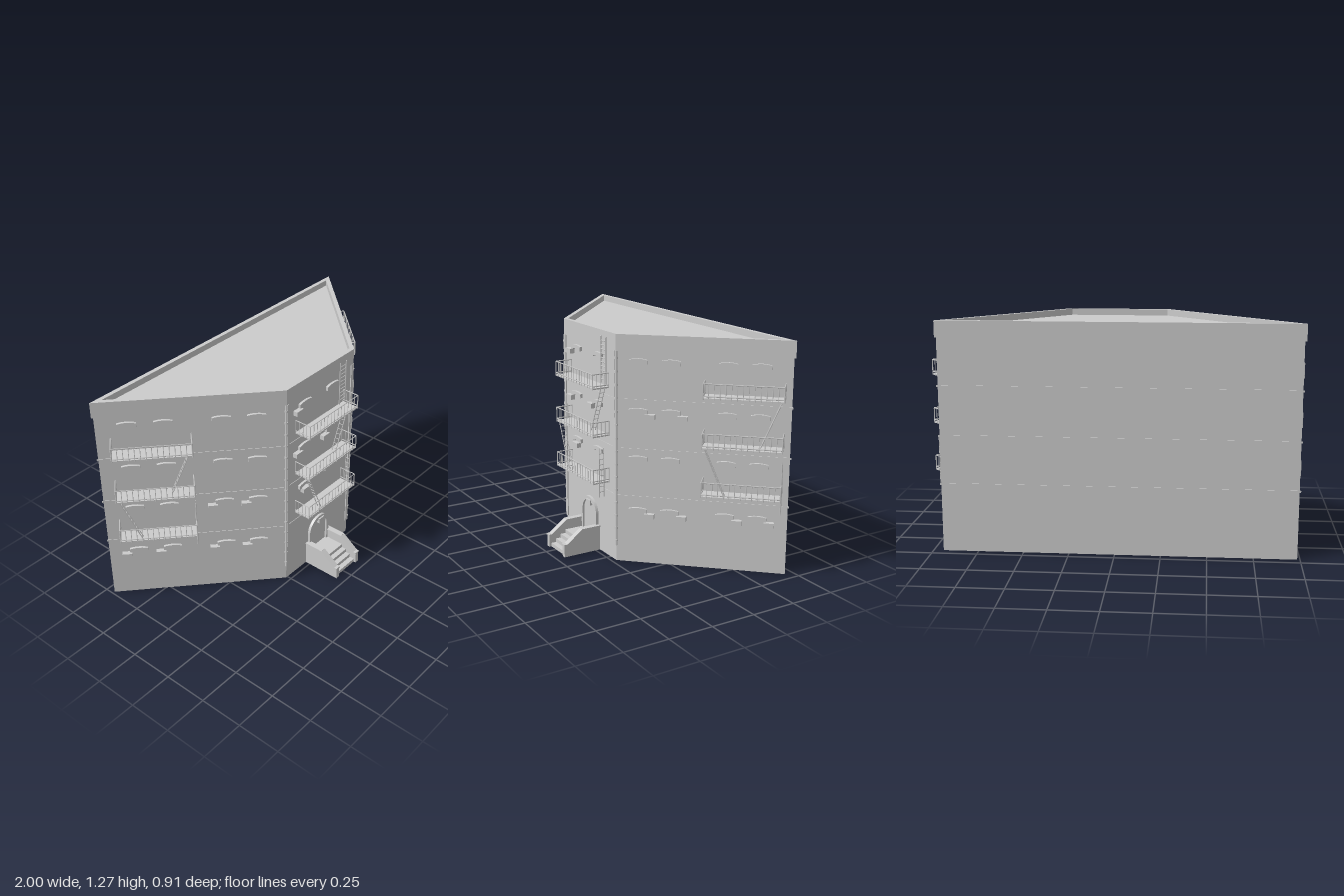
import * as THREE from 'three';
import { mergeGeometries } from 'three/addons/utils/BufferGeometryUtils.js';

const grey = new THREE.MeshStandardMaterial({ color: 0xcccccc, side: THREE.DoubleSide });
const V = (x, y, z) => new THREE.Vector3(x, y, z);

// Ground plan corners as (x, z): back right, front right, front left, back left
const plan = [[-0.985, -0.45], [-0.26, 0.222], [0.31, 0.222], [0.945, -0.45]];

function add(parent, name, geometry, x = 0, y = 0, z = 0) {
  const mesh = new THREE.Mesh(geometry, grey);
  mesh.name = name;
  mesh.position.set(x, y, z);
  parent.add(mesh);
  return mesh;
}

function box(w, h, d, x = 0, y = 0, z = 0) {
  return new THREE.BoxGeometry(w, h, d).translate(x, y, z);
}

// Thin four-sided bar between two points
function bar(a, b, r = 0.0025) {
  const dir = b.clone().sub(a);
  const g = new THREE.CylinderGeometry(r, r, dir.length(), 4);
  g.applyQuaternion(new THREE.Quaternion().setFromUnitVectors(V(0, 1, 0), dir.normalize()));
  return g.translate((a.x + b.x) / 2, (a.y + b.y) / 2, (a.z + b.z) / 2);
}

// Plan outline moved outward by d with mitred corners
function outline(d) {
  const n = plan.length;
  const normal = (i) => {
    const [a, b] = [plan[i % n], plan[(i + 1) % n]];
    return new THREE.Vector2(-(b[1] - a[1]), b[0] - a[0]).normalize();
  };
  return plan.map((p, i) => {
    const n1 = normal(i + n - 1), n2 = normal(i);
    const k = d / (1 + n1.dot(n2));
    return new THREE.Vector2(p[0] + k * (n1.x + n2.x), -(p[1] + k * (n1.y + n2.y)));
  });
}

// Upright slab following the plan, optionally hollow
function slab(d, height, inner) {
  const shape = new THREE.Shape(outline(d));
  if (inner !== undefined) shape.holes.push(new THREE.Path(outline(inner)));
  return new THREE.ExtrudeGeometry(shape, { depth: height, bevelEnabled: false }).rotateX(-Math.PI / 2);
}

// Ladder with its width running along the given direction
function ladder(a, b, across, count, r = 0.003) {
  const parts = [bar(a.clone().add(across), b.clone().add(across), r),
    bar(a.clone().sub(across), b.clone().sub(across), r)];
  for (let i = 1; i < count; i++) {
    const p = a.clone().lerp(b, i / count);
    parts.push(bar(p.clone().add(across), p.clone().sub(across), r * 0.8));
  }
  return mergeGeometries(parts);
}

// Balcony platform with railing on three sides
function balcony(len, depth, h) {
  const parts = [box(len, 0.008, depth, len / 2, 0.004, depth / 2)];
  const run = (a, b, count) => {
    for (const y of [0.018, h]) parts.push(bar(V(a.x, y, a.z), V(b.x, y, b.z), 0.0035));
    for (let i = 0; i <= count; i++) {
      const p = a.clone().lerp(b, i / count);
      parts.push(bar(p, V(p.x, h, p.z), i % count ? 0.002 : 0.0035));
    }
  };
  run(V(0, 0, 0), V(0, 0, depth), 4);
  run(V(0, 0, depth), V(len, 0, depth), 14);
  run(V(len, 0, depth), V(len, 0, 0), 4);
  return mergeGeometries(parts);
}

// Three balconies joined by steep stairs, with a drop ladder
function fireEscape() {
  const g = new THREE.Group();
  g.name = 'fireEscape';
  const len = 0.415, floors = [0.433, 0.698, 0.964];
  const platform = balcony(len, 0.1, 0.083);
  for (const y of floors) add(g, 'balcony', platform, 0, y, 0);
  const across = V(0, 0, 0.013);
  add(g, 'upperStair', ladder(V(0.295, floors[1], 0.032), V(0.405, floors[2], 0.032), across, 10));
  add(g, 'lowerStair', ladder(V(0.125, floors[0], 0.077), V(0.012, floors[1], 0.077), across, 10));
  add(g, 'dropLadder', ladder(V(len, 0.355, 0.048), V(len, 0.635, 0.048), V(0, 0, 0.014), 9));
  return g;
}

// Window hood with a shallow arched underside
function hoodGeometry() {
  const s = new THREE.Shape();
  s.moveTo(-0.05, -0.015);
  s.lineTo(-0.036, -0.015);
  s.quadraticCurveTo(0, 0.008, 0.036, -0.015);
  s.lineTo(0.05, -0.015);
  s.lineTo(0.05, 0.008);
  s.quadraticCurveTo(0, 0.022, -0.05, 0.008);
  return new THREE.ExtrudeGeometry(s, { depth: 0.014, bevelEnabled: false, curveSegments: 6 });
}

// One facade in its own frame: x along the wall, z outward
function facade(name, i, { windows, rows, units, side, escape }) {
  const [a, b] = [plan[i], plan[i + 1]];
  const g = new THREE.Group();
  g.name = name;
  g.position.set(a[0], 0, a[1]);
  g.rotation.y = Math.atan2(-(b[1] - a[1]), b[0] - a[0]);
  const hood = hoodGeometry();
  for (const y of rows) for (const x of windows) add(g, 'windowHood', hood, x, y, 0);
  for (const [row, w] of units)
    add(g, 'airConditioner', box(0.054, 0.027, 0.03), windows[w] + side * 0.065, rows[row] - 0.028, 0.012);
  const stairs = fireEscape();
  stairs.position.x = escape;
  g.add(stairs);
  return g;
}

// Arched door surround, entrance steps and sloping side walls
function entrance() {
  const g = new THREE.Group();
  g.name = 'entrance';
  g.position.set(0.025, 0, plan[1][1]);
  const arch = (s, r, y0) => {
    s.moveTo(-r, y0);
    s.lineTo(-r, 0.205);
    s.absarc(0, 0.205, r, Math.PI, 0, true);
    s.lineTo(r, y0);
    s.closePath();
    return s;
  };
  const frame = arch(new THREE.Shape(), 0.088, 0);
  frame.holes.push(arch(new THREE.Path(), 0.067, 0.01));
  add(g, 'doorFrame', new THREE.ExtrudeGeometry(frame, { depth: 0.016, bevelEnabled: false, curveSegments: 16 }));
  add(g, 'door', new THREE.ExtrudeGeometry(arch(new THREE.Shape(), 0.067, 0), { depth: 0.004, bevelEnabled: false, curveSegments: 16 }));
  add(g, 'doorLamp', box(0.045, 0.03, 0.024), 0.01, 0.262, 0.012);
  for (let i = 0; i < 4; i++) {
    const depth = 0.215 - i * 0.03, h = 0.0215;
    add(g, 'step', box(0.17, h, depth), 0, h * (i + 0.5), depth / 2);
  }
  const side = new THREE.Shape([[0, 0], [0.228, 0], [0.228, 0.068], [0.21, 0.072], [0.115, 0.142], [0, 0.142]]
    .map(([x, y]) => new THREE.Vector2(x, y)));
  const wall = new THREE.ExtrudeGeometry(side, { depth: 0.024, bevelEnabled: false })
    .rotateY(-Math.PI / 2).translate(0.012, 0, 0);
  const cap = mergeGeometries([
    box(0.034, 0.008, 0.117, 0, 0.143, 0.058),
    new THREE.BoxGeometry(0.034, 0.008, 0.12).rotateX(Math.atan2(0.07, 0.095)).translate(0, 0.107, 0.1625),
    box(0.034, 0.008, 0.022, 0, 0.071, 0.219),
  ]);
  for (const x of [-0.092, 0.092]) {
    add(g, 'stepWall', wall, x);
    add(g, 'stepWallCap', cap, x);
  }
  return g;
}

export function createModel() {
  const model = new THREE.Group();
  model.name = 'apartmentBlock';

  // Walls, floor bands, roof and parapet
  add(model, 'walls', slab(0, 1.235));
  for (const y of [0.374, 0.642, 0.914]) add(model, 'floorBand', slab(0.003, 0.01, -0.01), 0, y);
  add(model, 'parapet', slab(0.004, 0.09, -0.02), 0, 1.18);

  // Downpipes with brackets at the two front corners
  for (const [x, z] of plan.slice(1, 3)) {
    const s = Math.sign(x);
    add(model, 'cornerTrim', box(0.012, 1.09, 0.012), x - s * 0.012, 0.635, z);
    add(model, 'downpipe', new THREE.CylinderGeometry(0.007, 0.007, 1.09, 10), x, 0.635, z);
    for (let i = 0; i < 15; i++)
      add(model, 'pipeBracket', new THREE.CylinderGeometry(0.0095, 0.0095, 0.012, 10), x, 0.12 + i * 0.073, z);
  }

  // Facades; rows run from the top storey down
  const rows = [1.13, 0.862, 0.598, 0.305];
  model.add(facade('rightFacade', 0, {
    windows: [0.163, 0.35, 0.65, 0.833], rows, side: -1, escape: 0.075,
    units: [[2, 2], [2, 3], [3, 0], [3, 1], [3, 2], [3, 3]],
  }));
  const front = facade('frontFacade', 1, {
    windows: [0.15, 0.382], rows: rows.slice(0, 3), side: -1, escape: 0.078,
    units: [[0, 0], [1, 0], [1, 1]],
  });
  add(front, 'airConditioner', box(0.054, 0.027, 0.03), 0.15, 0.565, 0.012);
  add(front, 'roofLadder', ladder(V(0.462, 0.985, 0.016), V(0.462, 1.24, 0.016), V(0.026, 0, 0), 11, 0.004));
  model.add(front);
  model.add(facade('leftFacade', 2, {
    windows: [0.12, 0.295, 0.593, 0.765], rows, side: 1, escape: 0.474,
    units: [[1, 0], [1, 1], [3, 0], [3, 1], [3, 2], [3, 3]],
  }));

  model.add(entrance());
  return model;
}
